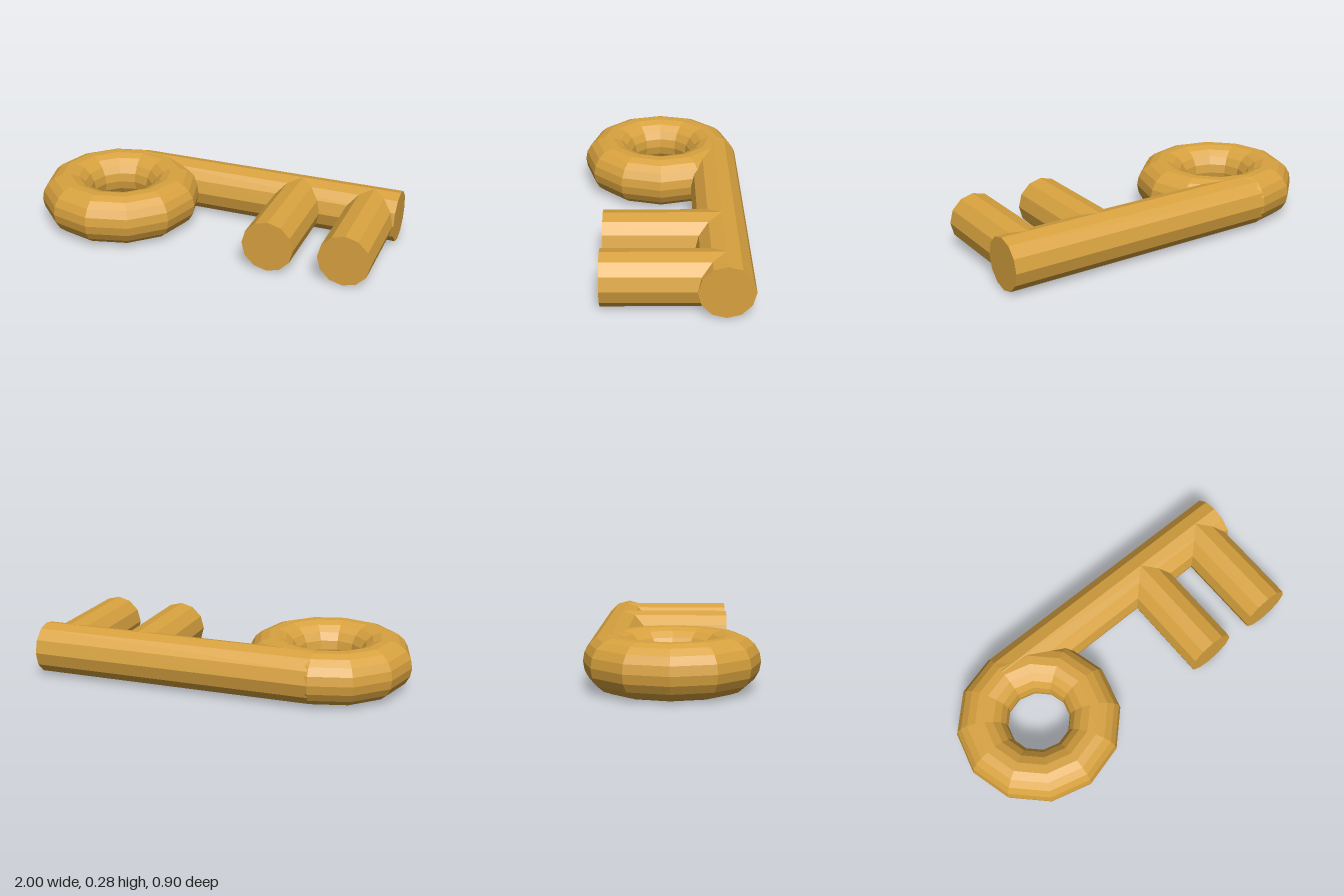
import * as THREE from 'three';

export function createModel() {
  const key = new THREE.Group();
  key.name = 'key';
  const gold = new THREE.MeshStandardMaterial({ color: 0xd8a23f, flatShading: true });
  gold.name = 'gold';

  const radius = 0.141; // shared thickness of ring, shaft and teeth
  const ringRadius = 0.311;
  const ringX = -0.548;

  function add(name, geometry, x, z) {
    const mesh = new THREE.Mesh(geometry, gold);
    mesh.name = name;
    mesh.position.set(x, radius, z);
    key.add(mesh);
  }

  // Ring handle lying flat
  add('ringHandle', new THREE.TorusGeometry(ringRadius, radius, 18, 12).rotateX(Math.PI / 2), ringX, 0);

  // Shaft leaving the back of the ring at a tangent
  const shaftLength = 1 - ringX;
  add('shaft', new THREE.CylinderGeometry(radius, radius, shaftLength, 12).rotateZ(Math.PI / 2),
    ringX + shaftLength / 2, -ringRadius);

  // Two teeth reaching forward from the shaft's axis
  const toothFront = 0.303;
  const toothLength = toothFront + ringRadius;
  [['innerTooth', 0.441], ['outerTooth', 0.853]].forEach(([name, x]) => {
    add(name, new THREE.CylinderGeometry(radius, radius, toothLength, 12).rotateX(Math.PI / 2),
      x, toothFront - toothLength / 2);
  });

  return key;
}
